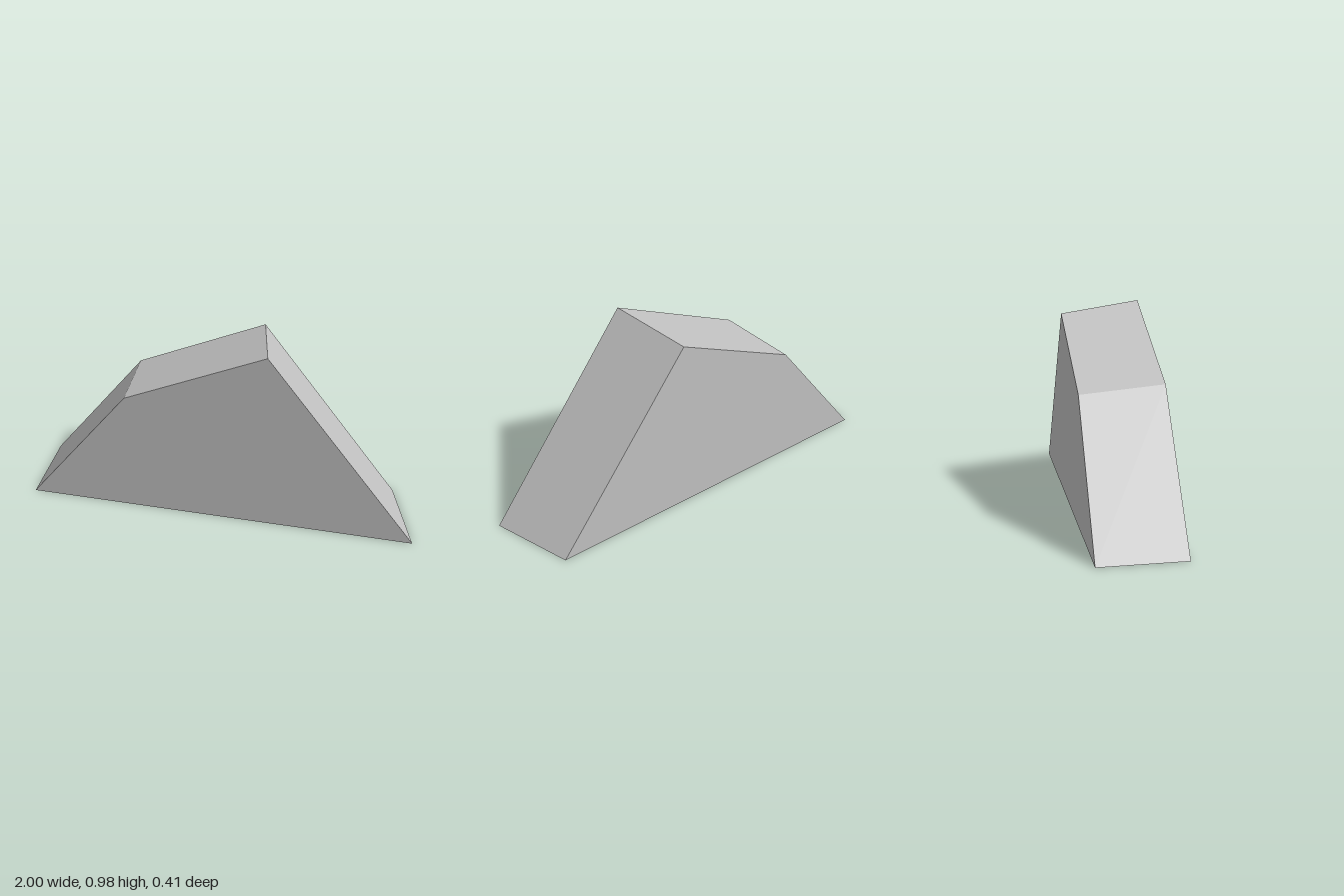
import * as THREE from 'three';

// Corner outlines: bottom left, bottom right, top right, top left
const FRONT = [[-0.99, 0], [1, 0], [0.245, 0.975], [-0.46, 0.66]];
const BACK = [[-1, 0], [0.87, 0], [0.16, 0.922], [-0.495, 0.63]];
const HALF_DEPTH = 0.205;

export function createModel() {
  const stone = new THREE.MeshStandardMaterial({ color: 0xc2c2c2 });
  stone.name = 'light grey';

  // Skewed wedge block: a box whose eight corners move to the two outlines
  const geometry = new THREE.BoxGeometry(2, 2, 2).toNonIndexed();
  const pos = geometry.attributes.position;
  for (let i = 0; i < pos.count; i++) {
    const right = pos.getX(i) > 0;
    const top = pos.getY(i) > 0;
    const front = pos.getZ(i) > 0;
    const corner = top ? (right ? 2 : 3) : (right ? 1 : 0);
    const [x, y] = (front ? FRONT : BACK)[corner];
    pos.setXYZ(i, x, y, front ? HALF_DEPTH : -HALF_DEPTH);
  }
  geometry.computeVertexNormals();

  const block = new THREE.Mesh(geometry, stone);
  block.name = 'wedgeBlock';

  const model = new THREE.Group();
  model.name = 'block';
  model.add(block);
  return model;
}
